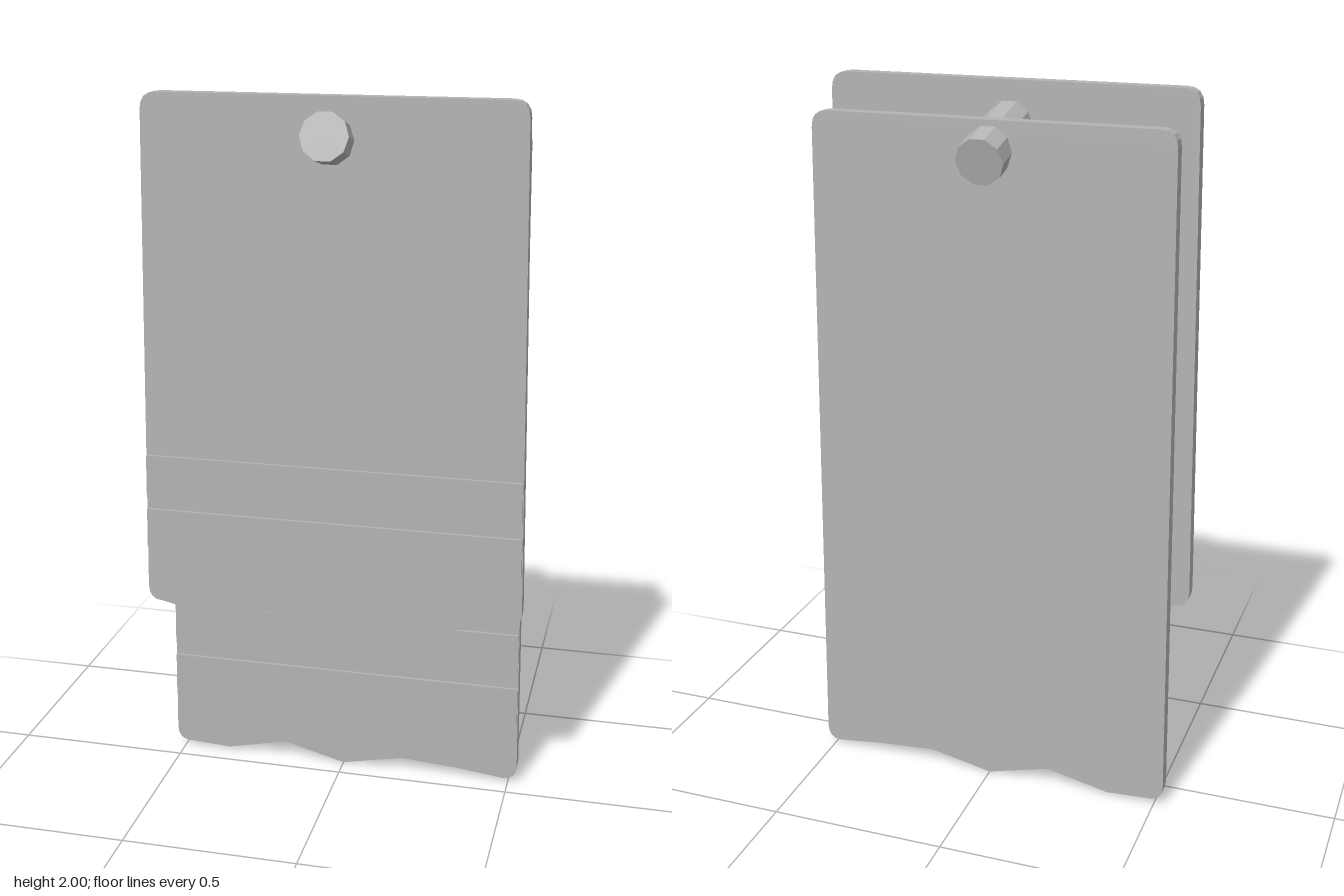
import * as THREE from 'three';

const grey = new THREE.MeshStandardMaterial({ color: 0xb4b4b4, flatShading: true });
grey.name = 'plain grey';

const THICK = 0.039; // panel thickness
const RAISE = 0.009; // height of the raised bands

// Slab cut from a shape, with its back face at z
function slab(name, shape, z, depth) {
  const geo = new THREE.ExtrudeGeometry(shape, { depth, bevelEnabled: false, curveSegments: 4 });
  const mesh = new THREE.Mesh(geo, grey);
  mesh.name = name;
  mesh.position.z = z;
  return mesh;
}

// Tapered panel with rounded corners, a ragged lower edge and raised bands
function panel({ name, z, top, topHalf, low, lowHalf, leftCorner, rightCorner, ragged, bands }) {
  const group = new THREE.Group();
  group.name = name;
  const r = 0.045;
  const halfAt = y => topHalf + (lowHalf - topHalf) * (top - y) / (top - low);

  const s = new THREE.Shape();
  s.moveTo(-topHalf + r, top);
  s.quadraticCurveTo(-topHalf, top, -halfAt(top - r), top - r);
  s.lineTo(-halfAt(leftCorner[1] + r), leftCorner[1] + r);
  s.quadraticCurveTo(-lowHalf, leftCorner[1], ...leftCorner);
  ragged.forEach(p => s.lineTo(...p));
  s.lineTo(...rightCorner);
  s.quadraticCurveTo(lowHalf, rightCorner[1], halfAt(rightCorner[1] + r), rightCorner[1] + r);
  s.lineTo(halfAt(top - r), top - r);
  s.quadraticCurveTo(topHalf, top, topHalf - r, top);
  group.add(slab('slab', s, z, THICK));

  bands.forEach(([y0, y1]) => {
    const a = halfAt(y0) - 0.002, b = halfAt(y1) - 0.002;
    const band = new THREE.Shape([[-a, y0], [a, y0], [b, y1], [-b, y1]].map(p => new THREE.Vector2(...p)));
    group.add(slab('raisedBand', band, z + THICK, RAISE));
  });
  return group;
}

export function createModel() {
  const model = new THREE.Group();
  model.name = 'hangingPanels';

  model.add(panel({
    name: 'frontPanel', z: 0.064, top: 2, topHalf: 0.51, low: 0.6, lowHalf: 0.54,
    leftCorner: [-0.5, 0.557], rightCorner: [0.5, 0.577],
    ragged: [[-0.36, 0.525], [-0.18, 0.555], [-0.01, 0.53], [0.19, 0.53], [0.37, 0.555]],
    bands: [[0.89, 1.0], [0.73, 0.84]],
  }));

  model.add(panel({
    name: 'backPanel', z: -0.1, top: 1.92, topHalf: 0.495, low: 0.05, lowHalf: 0.525,
    leftCorner: [-0.485, 0.017], rightCorner: [0.485, 0.012],
    ragged: [[-0.36, 0.01], [-0.18, 0.05], [0, 0.002], [0.18, 0.04], [0.36, 0.027]],
    bands: [[0.365, 0.48], [0.2, 0.31]],
  }));

  // Ten-sided pin through both panels, tilted up toward the front
  const pin = new THREE.Mesh(new THREE.CylinderGeometry(0.065, 0.065, 0.342, 10, 1, false, Math.PI / 10), grey);
  pin.name = 'pin';
  pin.position.set(0, 1.864, 0);
  pin.rotation.x = Math.PI / 2 - 0.243;
  model.add(pin);

  return model;
}
